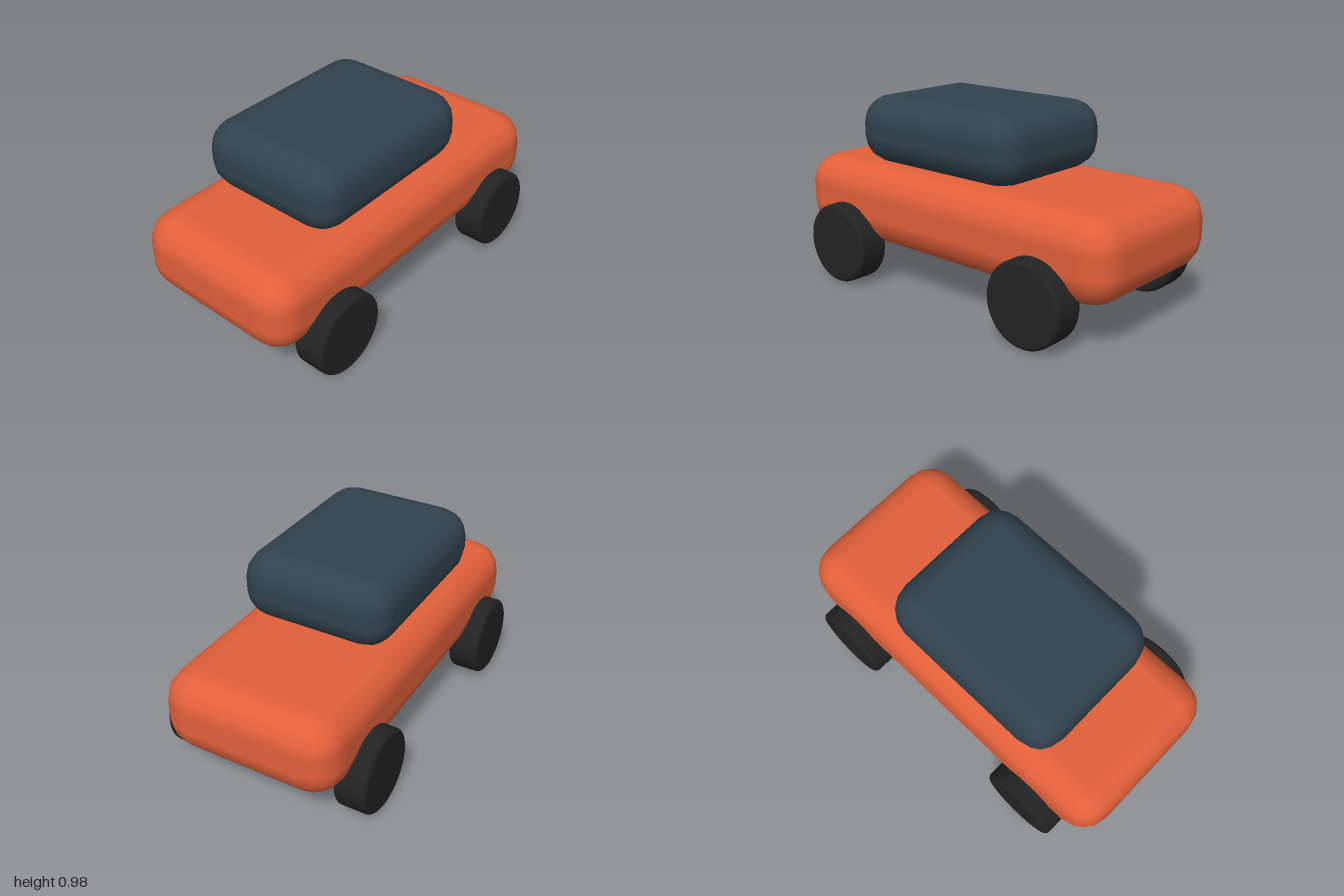
import * as THREE from 'three';
import { RoundedBoxGeometry } from 'three/addons/geometries/RoundedBoxGeometry.js';

function material(name, color) {
  const m = new THREE.MeshStandardMaterial({ color });
  m.name = name;
  return m;
}

// Lathe profile of a solid wheel with rounded shoulders, spun about y
function wheelGeometry(radius, width, bevel) {
  const h = width / 2;
  const points = [new THREE.Vector2(0, -h)];
  for (const side of [-1, 1]) {
    for (let i = 0; i <= 4; i++) {
      const a = (side < 0 ? i - 4 : i) * Math.PI / 8;
      points.push(new THREE.Vector2(
        radius - bevel + Math.cos(a) * bevel,
        side * (h - bevel) + Math.sin(a) * bevel));
    }
  }
  points.push(new THREE.Vector2(0, h));
  return new THREE.LatheGeometry(points, 40).rotateX(Math.PI / 2);
}

export function createModel() {
  const group = new THREE.Group();
  group.name = 'toyCar';
  const orange = material('orange paint', 0xe2603a);
  const slate = material('dark slate', 0x31424e);
  const rubber = material('black rubber', 0x232323);

  function add(name, geometry, mat, x, y, z) {
    const mesh = new THREE.Mesh(geometry, mat);
    mesh.name = name;
    mesh.position.set(x, y, z);
    group.add(mesh);
  }

  // Pillow-edged body and cabin
  add('body', new RoundedBoxGeometry(2, 0.417, 0.92, 2, 0.16), orange, 0, 0.417, 0);
  add('cabin', new RoundedBoxGeometry(1.045, 0.354, 0.795, 2, 0.148), slate, -0.105, 0.802, 0);

  // Four wheels
  const wheel = wheelGeometry(0.208, 0.167, 0.024);
  for (const [end, x] of [['Left', 0.628], ['Right', -0.628]]) {
    for (const [side, z] of [['front', 0.463], ['back', -0.463]]) {
      add(side + end + 'Wheel', wheel, rubber, x, 0.208, z);
    }
  }
  return group;
}
